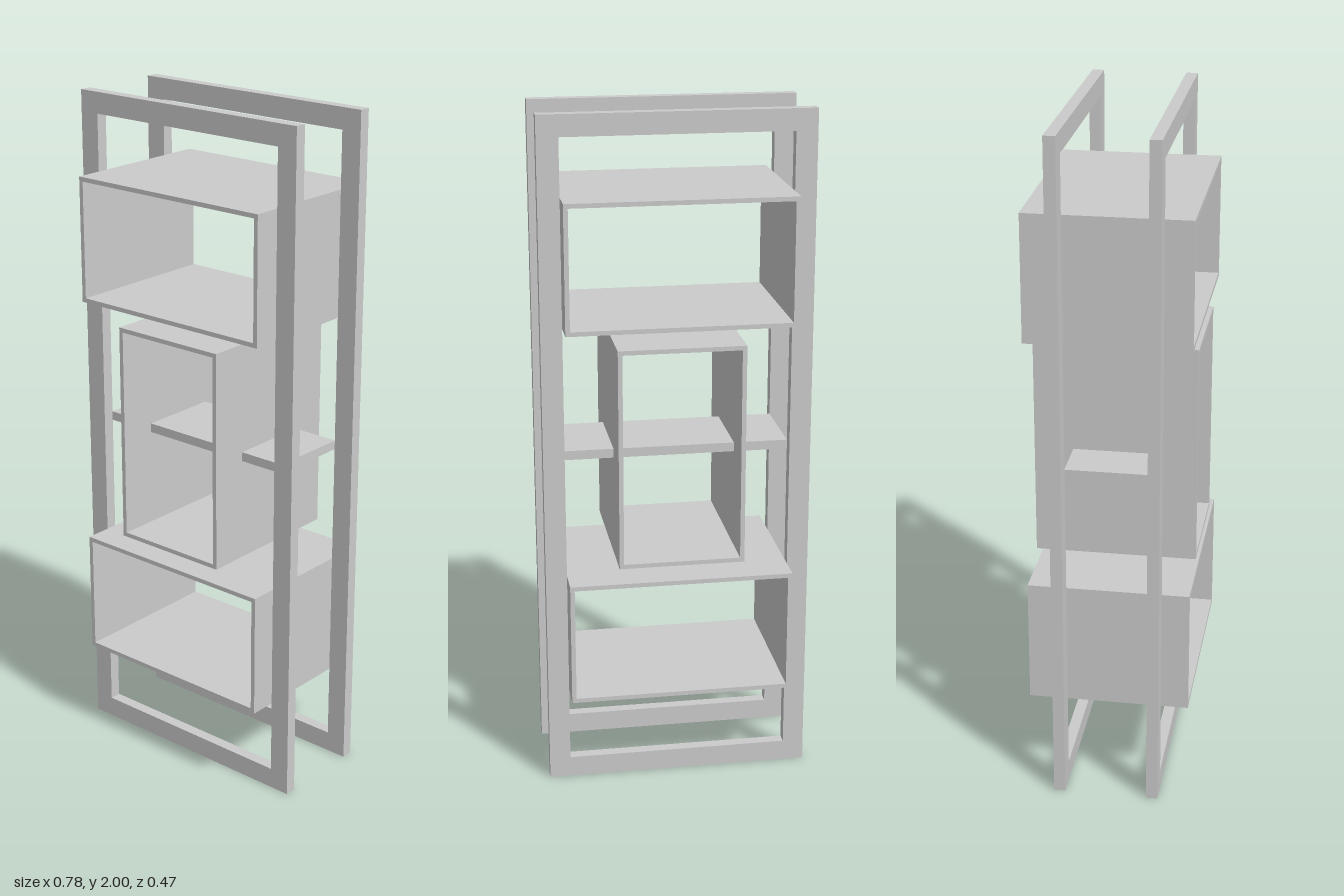
import * as THREE from 'three';

const material = new THREE.MeshStandardMaterial({ color: 0xcccccc, flatShading: true });

function rectangle(target, w, h) {
  target.moveTo(-w / 2, -h / 2);
  target.lineTo(w / 2, -h / 2);
  target.lineTo(w / 2, h / 2);
  target.lineTo(-w / 2, h / 2);
  target.closePath();
  return target;
}

// Rectangular ring of the given wall thickness, extruded along z and centred
function ring(name, w, h, wall, depth, y, z = 0) {
  const shape = rectangle(new THREE.Shape(), w, h);
  shape.holes.push(rectangle(new THREE.Path(), w - 2 * wall, h - 2 * wall));
  const geometry = new THREE.ExtrudeGeometry(shape, { depth, bevelEnabled: false });
  geometry.translate(0, 0, -depth / 2);
  const mesh = new THREE.Mesh(geometry, material);
  mesh.name = name;
  mesh.position.set(0, y, z);
  return mesh;
}

export function createModel() {
  const model = new THREE.Group();
  model.name = 'shelfUnit';

  // Two upright frames
  model.add(ring('frontFrame', 0.78, 2, 0.062, 0.034, 1, 0.139));
  model.add(ring('backFrame', 0.78, 2, 0.062, 0.034, 1, -0.139));

  // Open boxes: two lying, one standing between them
  const long = 0.655, short = 0.37, wall = 0.013, depth = 0.472;
  model.add(ring('upperBox', long, short, wall, depth, 1.587));
  model.add(ring('middleBox', short - 0.004, long - 0.002, wall, depth, 1.028));
  model.add(ring('lowerBox', long, short, wall, depth, 0.469));

  // Shelf running through the standing box
  const shelf = new THREE.Mesh(new THREE.BoxGeometry(0.656, 0.027, 0.246), material);
  shelf.name = 'middleShelf';
  shelf.position.y = 1.017;
  model.add(shelf);

  return model;
}
